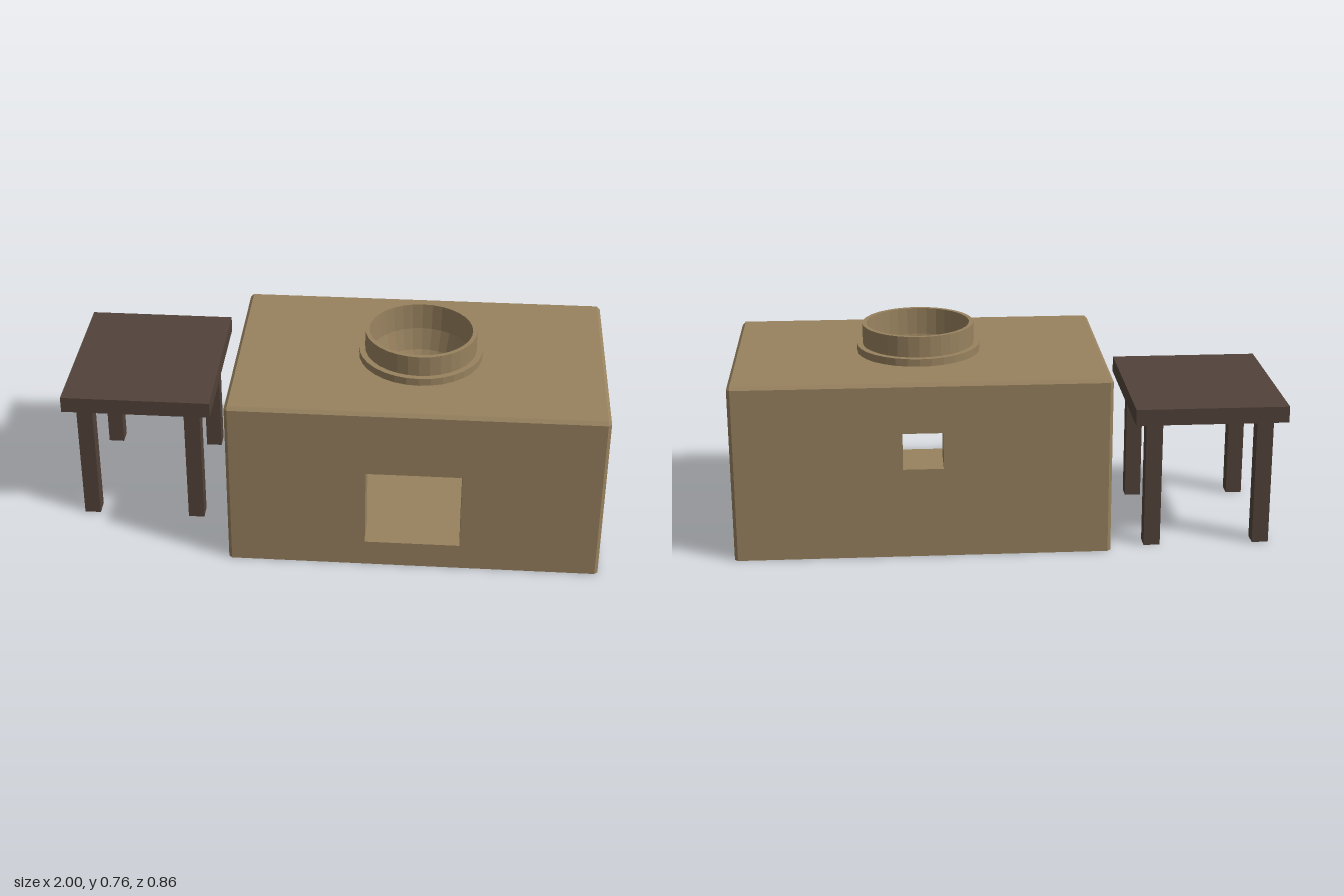
import * as THREE from 'three';

const clay = new THREE.MeshStandardMaterial({ color: 0x98825f, side: THREE.DoubleSide });
clay.name = 'clay';
const wood = new THREE.MeshStandardMaterial({ color: 0x52433a });
wood.name = 'dark wood';

// Oven extents: left/right x, height, half depth, chamfer, wall thickness
const X0 = -0.365, X1 = 0.997, H = 0.655, D = 0.43, C = 0.012, WALL = 0.13;
const MID = (X0 + X1) / 2;

function add(parent, name, geometry, material) {
  const mesh = new THREE.Mesh(geometry, material);
  mesh.name = name;
  parent.add(mesh);
  return mesh;
}

// Box given by its minimum and maximum corners
function box(parent, name, [x0, y0, z0], [x1, y1, z1], material) {
  const mesh = add(parent, name, new THREE.BoxGeometry(x1 - x0, y1 - y0, z1 - z0), material);
  mesh.position.set((x0 + x1) / 2, (y0 + y1) / 2, (z0 + z1) / 2);
}

function rect(Type, x0, y0, x1, y1) {
  const path = new Type();
  path.moveTo(x0, y0);
  path.lineTo(x1, y0);
  path.lineTo(x1, y1);
  path.lineTo(x0, y1);
  path.closePath();
  return path;
}

function flat(geometry) {
  const g = geometry.index ? geometry.toNonIndexed() : geometry;
  g.computeVertexNormals();
  return g;
}

// Cross-section of the oven, narrowed by i at the sides and top
function section(z, i) {
  const k = C - i;
  const l = X0 + i, r = X1 - i, t = H - i;
  return [[l, 0], [r, 0], [r, t - k], [r - k, t], [l + k, t], [l, t - k]].map(([x, y]) => [x, y, z]);
}

// Chamfered skin: sections joined front to back, top left open for the pot
function skinGeometry() {
  const rings = [section(-D, C), section(-D + C, 0), section(D - C, 0), section(D, C)];
  const pos = [];
  for (let s = 0; s < 3; s++) {
    for (let j = 0; j < 6; j++) {
      if (s === 1 && j === 3) continue;
      const n = (j + 1) % 6;
      const a = rings[s][j], b = rings[s][n], c = rings[s + 1][n], d = rings[s + 1][j];
      pos.push(...a, ...b, ...c, ...a, ...c, ...d);
    }
  }
  const g = new THREE.BufferGeometry();
  g.setAttribute('position', new THREE.Float32BufferAttribute(pos, 3));
  return flat(g);
}

// Thick end wall with a rectangular opening
function endWall(parent, name, z, opening) {
  const shape = rect(THREE.Shape, X0 + C, 0, X1 - C, H - C);
  shape.holes.push(rect(THREE.Path, ...opening));
  const g = new THREE.ExtrudeGeometry(shape, { depth: WALL, bevelEnabled: false });
  add(parent, name, g, clay).position.z = z;
}

function createOven() {
  const oven = new THREE.Group();
  oven.name = 'oven';
  add(oven, 'ovenSkin', skinGeometry(), clay);
  endWall(oven, 'frontWall', D - WALL, [0.14, 0.1, 0.487, 0.4]);
  endWall(oven, 'backWall', -D, [0.24, 0.335, 0.385, 0.47]);

  // Top plate with a round hole for the pot
  const top = rect(THREE.Shape, X0 + C, -D + C, X1 - C, D - C);
  const hole = new THREE.Path();
  hole.absarc(MID, 0, 0.215, 0, Math.PI * 2, true);
  top.holes.push(hole);
  const plate = new THREE.ShapeGeometry(top, 16);
  plate.rotateX(-Math.PI / 2);
  add(oven, 'topPlate', plate, clay).position.y = H;

  // Fire chamber inside
  const inner = D - WALL;
  box(oven, 'chamberFloor', [X0 + WALL, 0.005, -inner], [X1 - WALL, 0.03, inner], clay);
  box(oven, 'chamberSide', [X0 + C, 0.005, -inner], [X0 + WALL, H - C, inner], clay);
  box(oven, 'chamberSide', [X1 - WALL, 0.005, -inner], [X1 - C, H - C, inner], clay);

  // Stepped collar, rim and sunken bowl in one turned profile
  const profile = [
    [0.228, H - 0.003], [0.228, 0.683], [0.206, 0.683], [0.206, 0.76], [0.19, 0.76],
    [0.186, 0.66], [0.165, 0.58], [0.135, 0.53], [0.09, 0.5], [0, 0.5],
  ].map(([x, y]) => new THREE.Vector2(x, y));
  const pot = add(oven, 'potRim', flat(new THREE.LatheGeometry(profile, 32)), clay);
  pot.position.x = MID;
  return oven;
}

function createTable() {
  const table = new THREE.Group();
  table.name = 'table';
  box(table, 'tableTop', [-1, 0.48, -0.43], [-0.447, 0.54, 0.225], wood);
  for (const x of [-0.955, -0.552]) {
    for (const z of [-0.385, 0.12]) {
      box(table, 'tableLeg', [x, 0, z], [x + 0.06, 0.48, z + 0.06], wood);
    }
  }
  return table;
}

export function createModel() {
  const model = new THREE.Group();
  model.name = 'ovenAndTable';
  model.add(createOven(), createTable());
  return model;
}
